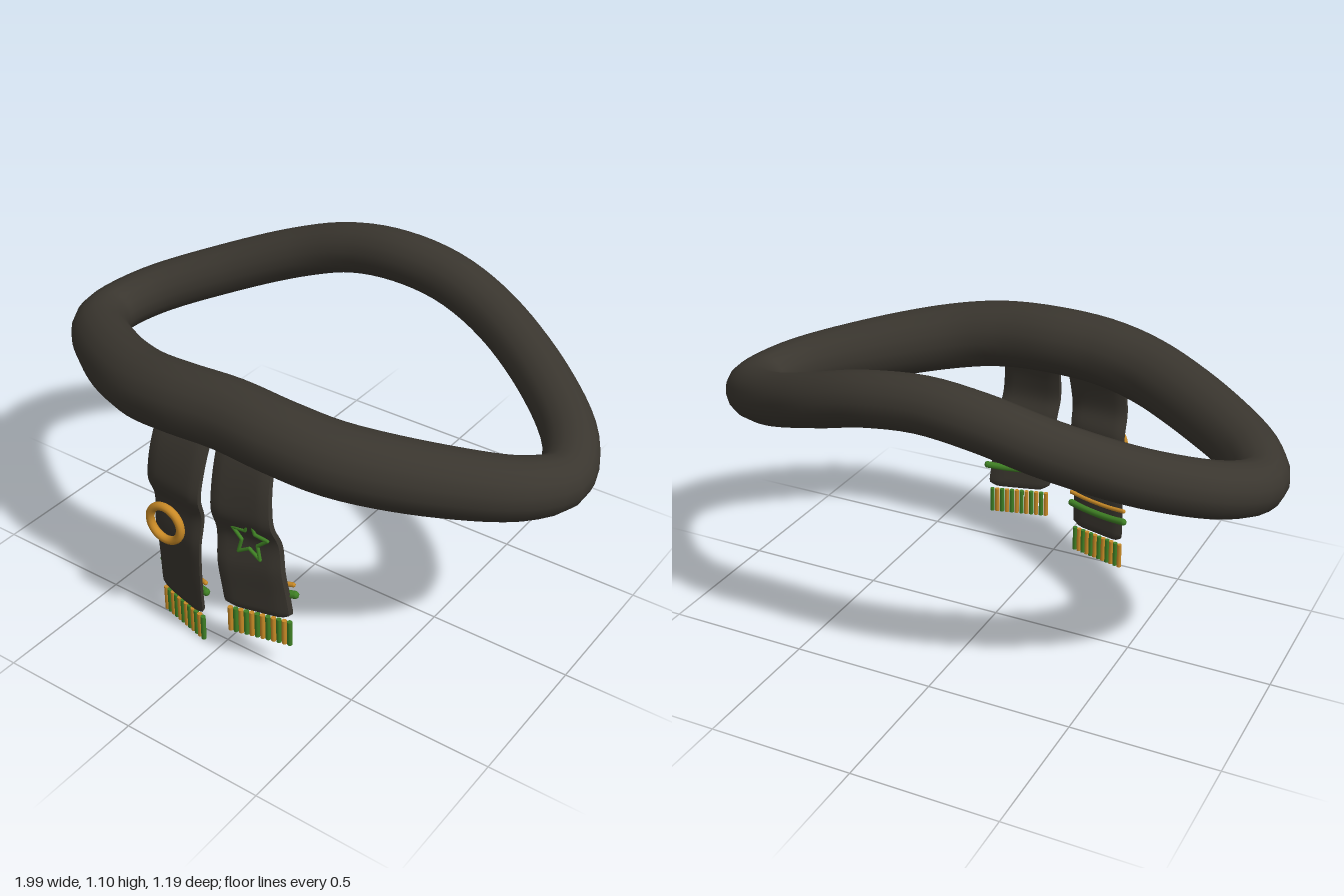
import * as THREE from 'three';
import { toCreasedNormals } from 'three/addons/utils/BufferGeometryUtils.js';

const cloth = new THREE.MeshStandardMaterial({ color: 0x3a362f });
const gold = new THREE.MeshStandardMaterial({ color: 0xc98a26 });
const green = new THREE.MeshStandardMaterial({ color: 0x3f8024 });
const V = (x, y, z) => new THREE.Vector3(x, y, z);

function add(parent, name, geometry, material) {
  const mesh = new THREE.Mesh(geometry, material);
  mesh.name = name;
  parent.add(mesh);
  return mesh;
}

// Straight round bar between two points
function rod(parent, name, a, b, r, material) {
  const d = b.clone().sub(a);
  const mesh = add(parent, name, new THREE.CylinderGeometry(r, r, d.length(), 8), material);
  mesh.position.copy(a).addScaledVector(d, 0.5);
  mesh.quaternion.setFromUnitVectors(V(0, 1, 0), d.normalize());
  return mesh;
}

// Closed neck loop, thicker at the front
function neckLoop() {
  const half = [
    [0.2, 0.86, 0.457], [0.38, 0.832, 0.42], [0.65, 0.783, 0.275], [0.85, 0.745, 0.11],
    [0.908, 0.733, -0.02], [0.85, 0.765, -0.17], [0.65, 0.84, -0.345], [0.4, 0.932, -0.465],
    [0.2, 0.992, -0.503],
  ].map((p) => V(...p));
  const mirrored = half.map((p) => V(-p.x, p.y, p.z)).reverse();
  const path = new THREE.CatmullRomCurve3(
    [V(0, 0.872, 0.458), ...half, V(0, 1.014, -0.507), ...mirrored], true);
  const rings = 96, sides = 16;
  const geo = new THREE.TubeGeometry(path, rings, 1, sides, true);
  const pos = geo.attributes.position, p = V();
  for (let i = 0; i <= rings; i++) {
    const c = path.getPointAt((i % rings) / rings);
    const r = 0.089 + 0.028 * THREE.MathUtils.smoothstep(c.z, -0.1, 0.46);
    for (let j = 0; j <= sides; j++) {
      const k = i * (sides + 1) + j;
      p.fromBufferAttribute(pos, k).sub(c).multiplyScalar(r).add(c);
      pos.setXYZ(k, p.x, p.y, p.z);
    }
  }
  return geo;
}

// Wavy side path shared by both tails, as (y, z)
const wave = new THREE.CatmullRomCurve3([
  V(0, 0.86, 0.47), V(0, 0.75, 0.524), V(0, 0.66, 0.55), V(0, 0.59, 0.557),
  V(0, 0.51, 0.533), V(0, 0.4, 0.54), V(0, 0.3, 0.532), V(0, 0.2, 0.524), V(0, 0.1, 0.514)]);
const wavePoints = wave.getPoints(160);
function waveZ(y) {
  const i = wavePoints.findIndex((p) => p.y <= y);
  if (i < 1) return wavePoints[i < 0 ? 160 : 0].z;
  const a = wavePoints[i - 1], b = wavePoints[i];
  return THREE.MathUtils.mapLinear(y, a.y, b.y, a.z, b.z);
}

// Hanging end: slab, trim cords and fringe
function scarfTail(name, { topX, endX, endY, twist }) {
  const tail = new THREE.Group();
  tail.name = name;
  const top = 0.85;
  // u across the width (-1..1), off = distance in front of the middle
  const place = (u, y, off, width = 0.11) => {
    const t = (top - y) / (top - endY);
    const a = twist * THREE.MathUtils.smoothstep(t, 0.1, 0.85);
    const x = THREE.MathUtils.lerp(topX, endX, t), w = u * width;
    return V(x + w * Math.cos(a) + off * Math.sin(a), y,
      waveZ(y) + w * Math.sin(a) * 1 + off * Math.cos(a));
  };

  const box = new THREE.BoxGeometry(2, 1, 2, 10, 48, 2);
  const pos = box.attributes.position;
  for (let i = 0; i < pos.count; i++) {
    const t = 0.5 - pos.getY(i), u = pos.getX(i);
    const y = THREE.MathUtils.lerp(top, endY, t);
    const near = Math.max(0, 1 - (y - endY) / 0.025);
    const round = 0.025 * (1 - Math.sqrt(1 - near * near));
    const thick = 0.018 * (1 - 0.5 * u ** 8) * (1 - 0.4 * near ** 3);
    const q = place(u, y, pos.getZ(i) * thick, THREE.MathUtils.lerp(0.105, 0.112, t) - round);
    pos.setXYZ(i, q.x, q.y, q.z);
  }
  add(tail, 'tailCloth', toCreasedNormals(box, 0.7), cloth);

  // Cords across the back
  for (const [label, up, r, mat] of [['greenCord', 0.088, 0.013, green], ['goldCord', 0.13, 0.008, gold]]) {
    const pts = [-1.08, -0.5, 0, 0.5, 1.08].map((u) => {
      const q = place(u, endY + up, -0.02);
      q.y -= 0.006 * (1 - u * u);
      return q;
    });
    const line = new THREE.CatmullRomCurve3(pts);
    add(tail, label, new THREE.TubeGeometry(line, 16, r, 8), mat);
    for (const p of [pts[0], pts[4]]) {
      add(tail, label + 'End', new THREE.SphereGeometry(r, 8, 6), mat).position.copy(p);
    }
  }

  // Fringe strands in alternating colours
  const count = 12;
  for (let i = 0; i < count; i++) {
    const a = place(-0.94 + (1.88 * i) / (count - 1), endY, 0);
    a.y = endY - 0.016;
    rod(tail, 'fringeStrand', a, V(a.x, endY - 0.11, a.z), 0.0088, i % 2 ? green : gold);
  }
  return tail;
}

// Five-pointed outline
function starOutline() {
  const star = new THREE.Group();
  star.name = 'starOutline';
  const corners = Array.from({ length: 10 }, (_, i) => {
    const r = i % 2 ? 0.032 : 0.071, a = Math.PI / 2 + (i * Math.PI) / 5;
    return V(r * Math.cos(a), r * Math.sin(a), 0);
  });
  corners.forEach((c, i) => {
    rod(star, 'starEdge', c, corners[(i + 1) % 10], 0.006, green);
    add(star, 'starCorner', new THREE.SphereGeometry(0.006, 8, 6), green).position.copy(c);
  });
  return star;
}

export function createModel() {
  const model = new THREE.Group();
  model.name = 'scarf';
  add(model, 'neckLoop', neckLoop(), cloth);

  model.add(scarfTail('rightTail', { topX: -0.135, endX: -0.17, endY: 0.11, twist: 0.25 }));
  model.add(scarfTail('leftTail', { topX: 0.1, endX: 0.158, endY: 0.22, twist: -0.25 }));

  // Ornaments on the tail fronts
  const ring = add(model, 'goldRing', new THREE.TorusGeometry(0.063, 0.0145, 12, 40), gold);
  ring.position.set(-0.174, 0.456, 0.58);
  const star = starOutline();
  star.position.set(0.158, 0.528, 0.566);
  star.rotation.x = -0.08;
  model.add(star);
  return model;
}
